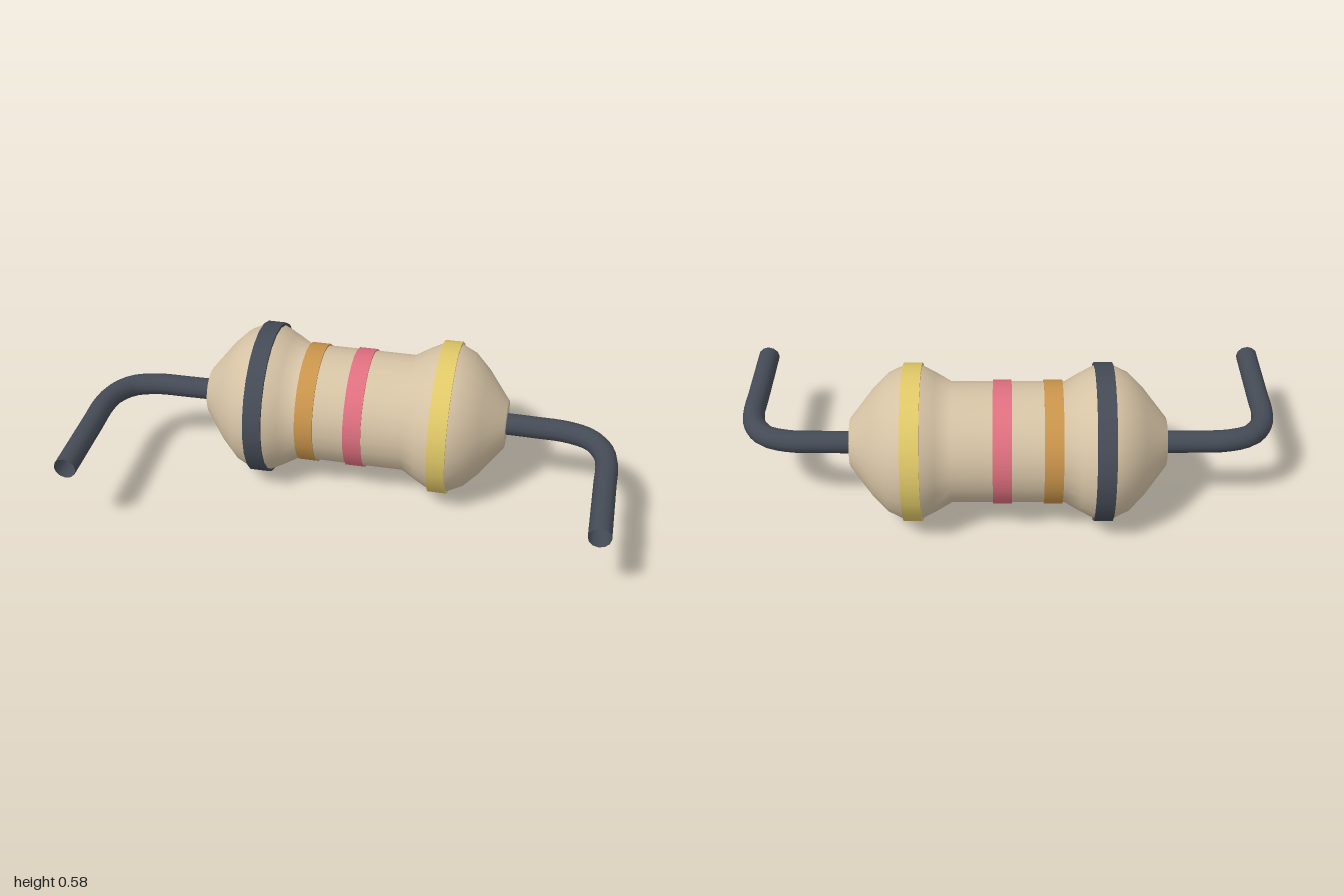
import * as THREE from 'three';

const AXIS_Y = 0.291, AXIS_Z = -0.155, SIDES = 24;

function material(name, color) {
  const m = new THREE.MeshStandardMaterial({ color });
  m.name = name;
  return m;
}

export function createModel() {
  const tan = material('tan', 0xd6c3a5);
  const charcoal = material('charcoal', 0x454b56);
  const orange = material('orange', 0xca954c);
  const pink = material('pink', 0xe07080);
  const yellow = material('yellow', 0xe0c968);
  charcoal.side = THREE.DoubleSide; // the wire ends are open

  const model = new THREE.Group();
  model.name = 'resistor';
  const add = (name, geometry, mat, parent) => {
    const mesh = new THREE.Mesh(geometry, mat);
    mesh.name = name;
    parent.add(mesh);
    return mesh;
  };

  // Everything round the body axis, built along y and laid along x
  const body = new THREE.Group();
  body.name = 'body';
  body.position.set(0, AXIS_Y, AXIS_Z);
  body.rotation.z = -Math.PI / 2;
  model.add(body);

  // Dumbbell shell: [distance from the middle, radius] for one half
  const half = [
    [0.205, 0.222], [0.26, 0.254], [0.31, 0.28], [0.345, 0.286],
    [0.38, 0.281], [0.435, 0.255], [0.49, 0.2], [0.575, 0.09],
  ];
  const profile = [
    ...half.map(([d, r]) => new THREE.Vector2(r, -d)).reverse(),
    ...half.map(([d, r]) => new THREE.Vector2(r, d)),
  ];
  add('shell', new THREE.LatheGeometry(profile, SIDES), tan, body);

  // Painted rings
  const bands = [
    ['charcoalBand', -0.345, 0.291, charcoal],
    ['orangeBand', -0.163, 0.228, orange],
    ['pinkBand', 0.021, 0.228, pink],
    ['yellowBand', 0.345, 0.291, yellow],
  ];
  for (const [name, x, r, mat] of bands) {
    add(name, new THREE.CylinderGeometry(r, r, 0.068, SIDES), mat, body).position.y = x;
  }

  // Flat ends and bent wire leads, mirrored
  for (const s of [-1, 1]) {
    const side = s > 0 ? 'left' : 'right';
    const end = add(side + 'EndCap', new THREE.CircleGeometry(0.09, SIDES), tan, body);
    end.position.y = s * 0.575;
    end.rotation.x = -s * Math.PI / 2;

    const path = new THREE.CatmullRomCurve3([
      [0.55, -0.157], [0.68, -0.155], [0.8, -0.15], [0.89, -0.118],
      [0.941, -0.05], [0.958, 0.03], [0.958, 0.15], [0.958, 0.445],
    ].map(([x, z]) => new THREE.Vector3(s * x, AXIS_Y, z)));
    add(side + 'Lead', new THREE.TubeGeometry(path, 28, 0.041, 12), charcoal, model);
  }
  return model;
}
